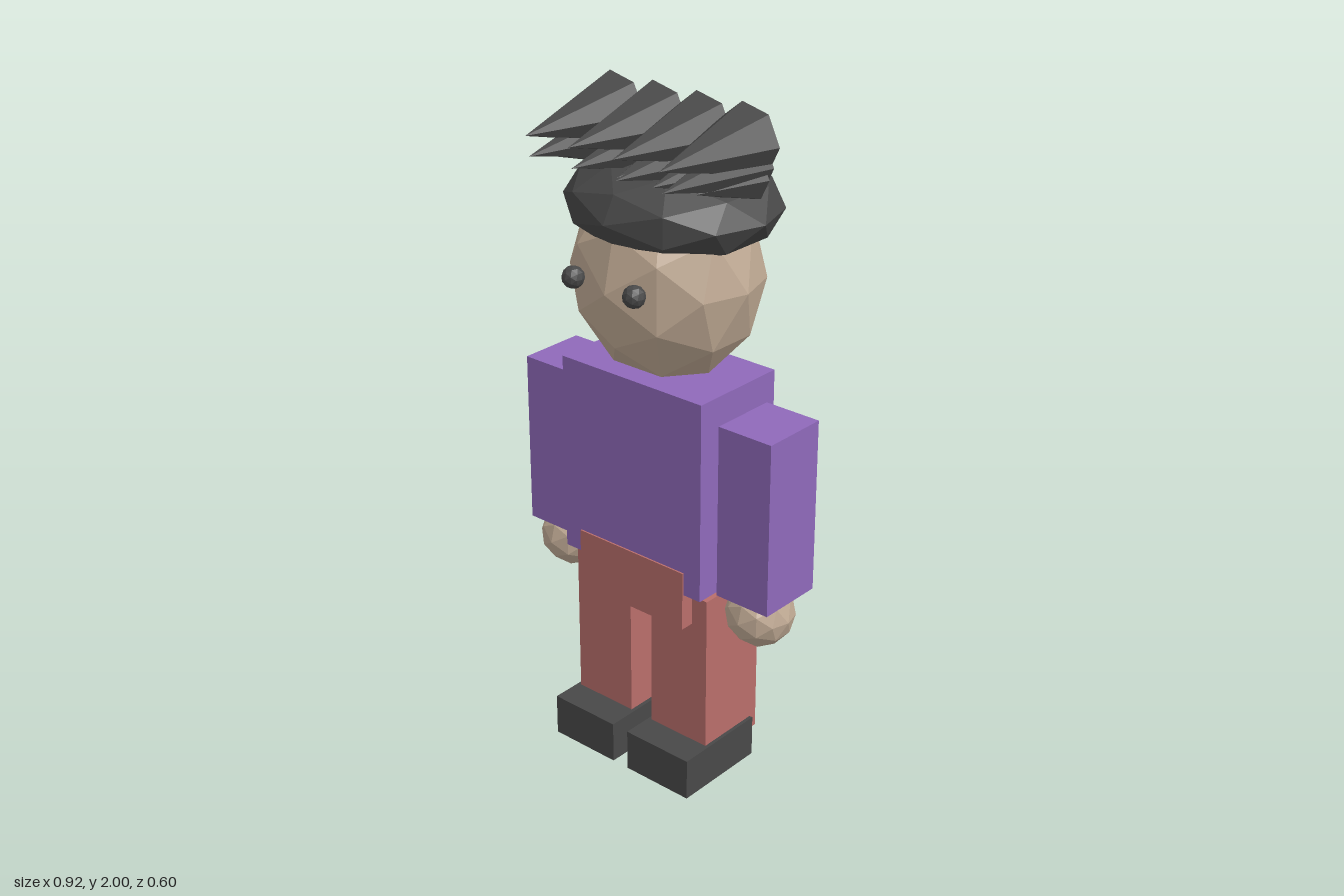
import * as THREE from 'three';

const makeMaterial = (name, color) => {
  const m = new THREE.MeshStandardMaterial({ color, flatShading: true });
  m.name = name;
  return m;
};

export function createModel() {
  const model = new THREE.Group();
  model.name = 'blockyFigure';
  const skin = makeMaterial('skin', 0xc0aa94);
  const shirt = makeMaterial('purpleShirt', 0x8f69ba);
  const trousers = makeMaterial('redTrousers', 0xb96e6b);
  const dark = makeMaterial('charcoal', 0x484848);

  const add = (name, geometry, material, x, y, z) => {
    const mesh = new THREE.Mesh(geometry, material);
    mesh.name = name;
    mesh.position.set(x, y, z);
    model.add(mesh);
    return mesh;
  };
  // Box given by its limits on each axis
  const box = (name, material, [x0, x1], [y0, y1], [z0, z1]) =>
    add(name, new THREE.BoxGeometry(x1 - x0, y1 - y0, z1 - z0), material,
      (x0 + x1) / 2, (y0 + y1) / 2, (z0 + z1) / 2);
  // Faceted ball with a radius on each axis
  const ball = (name, material, [rx, ry, rz], x, y, z) =>
    add(name, new THREE.IcosahedronGeometry(1, 1).scale(rx, ry, rz), material, x, y, z);
  // Seven-sided spike pointing forward
  const spike = (name, r, x, y, back, tip) =>
    add(name, new THREE.ConeGeometry(r, tip - back, 7).rotateY(Math.PI / 2).rotateX(Math.PI / 2),
      dark, x, y, (back + tip) / 2);

  // Body
  box('torso', shirt, [-0.253, 0.253], [0.63, 1.23], [-0.156, 0.156]);
  box('hips', trousers, [-0.194, 0.194], [0.52, 0.70], [-0.161, 0.161]);

  // Limbs
  for (const [side, s] of [['left', 1], ['right', -1]]) {
    const span = (a, b) => (s > 0 ? [a, b] : [-b, -a]);
    box(side + 'Arm', shirt, span(0.27, 0.448), [0.635, 1.155], [-0.103, 0.103]);
    ball(side + 'Hand', skin, [0.1, 0.1, 0.1], s * 0.358, 0.58, 0.017);
    box(side + 'Leg', trousers, span(0.04, 0.247), [0.085, 0.61], [-0.113, 0.118]);
    box(side + 'Shoe', dark, span(0.028, 0.258), [0, 0.128], [-0.086, 0.213]);
    ball(side + 'Eye', dark, [0.032, 0.032, 0.032], s * 0.108, 1.53, 0.256);
  }

  // Head and hair cap
  ball('head', skin, [0.28, 0.31, 0.253], 0, 1.505, 0);
  ball('hairCap', dark, [0.315, 0.14, 0.277], 0, 1.697, -0.023);

  // Fringe: a big row, a smaller row beneath it, and short spikes between
  for (const x of [-0.229, -0.076, 0.076, 0.229]) {
    spike('upperHairSpike', 0.102, x, 1.9, -0.053, 0.297);
    spike('lowerHairSpike', 0.085, x, 1.842, -0.053, 0.287);
  }
  for (const x of [-0.12, 0, 0.12]) spike('shortHairSpike', 0.07, x, 1.812, -0.04, 0.2);
  for (const x of [-0.24, 0.24]) spike('sideHairSpike', 0.07, x, 1.812, -0.04, 0.17);

  return model;
}
